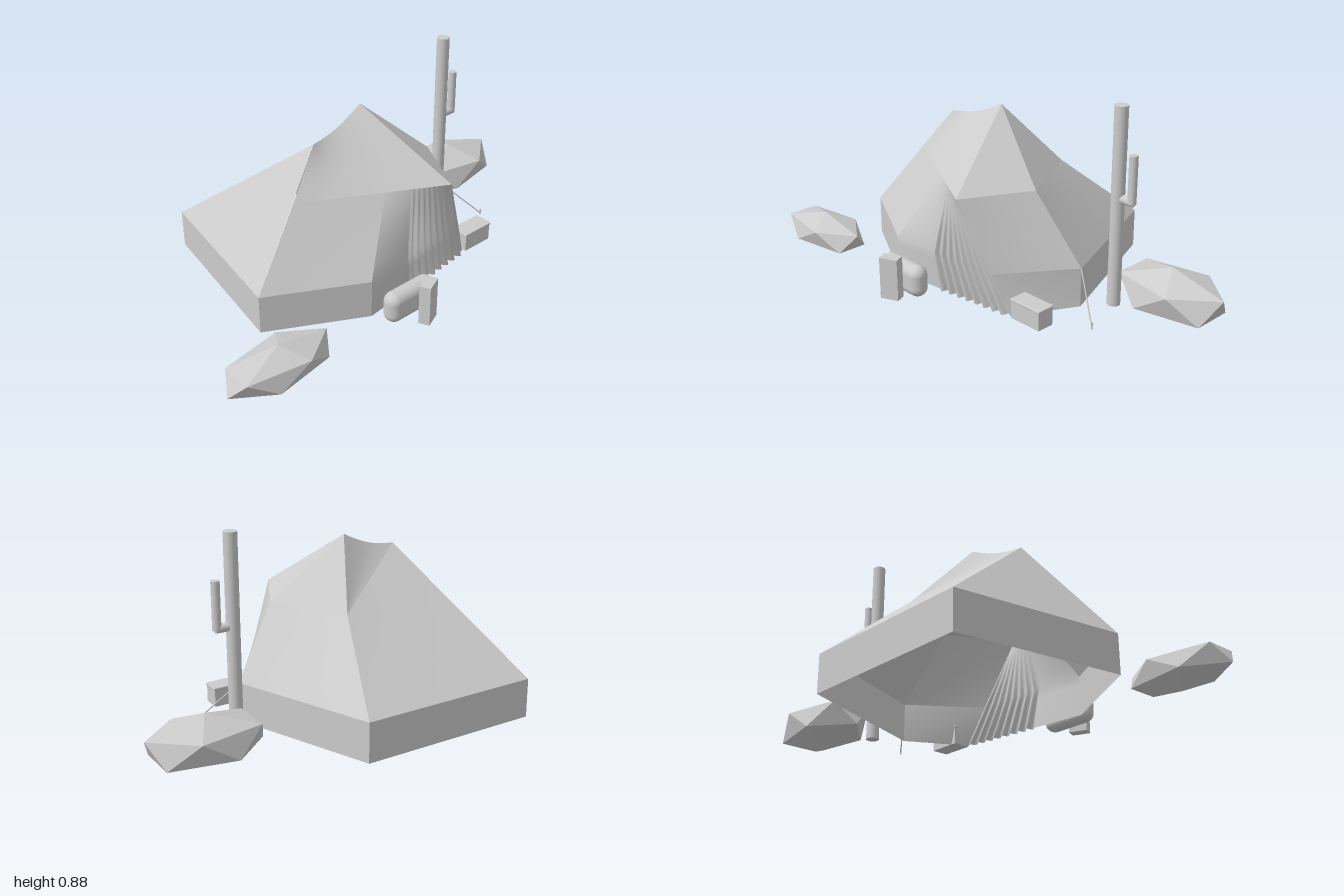
import * as THREE from 'three';
import { mergeGeometries } from 'three/addons/utils/BufferGeometryUtils.js';
import { RoundedBoxGeometry } from 'three/addons/geometries/RoundedBoxGeometry.js';
import { ConvexGeometry } from 'three/addons/geometries/ConvexGeometry.js';

const V = (x, y, z) => new THREE.Vector3(x, y, z);
const GROUND = 0.03;
const drop = p => V(p.x, GROUND, p.z);

// Points from a to b, both ends included
const line = (a, b, n = 1) =>
  Array.from({ length: n + 1 }, (_, i) => a.clone().lerp(b, i / n));

// Cloth surface hung between rails listed from top to bottom, each running left to right
function loft(rails, rows = 1, displace) {
  const grid = [rails[0]];
  for (let r = 1; r < rails.length; r++) {
    for (let k = 1; k <= rows; k++) {
      grid.push(rails[r].map((p, i) => rails[r - 1][i].clone().lerp(p, k / rows)));
    }
  }
  const w = rails[0].length, pos = [], idx = [];
  grid.forEach((row, j) => row.forEach((p, i) => {
    const q = displace ? displace(p.clone(), i / (w - 1)) : p;
    pos.push(q.x, q.y, q.z);
    if (j && i) {
      const a = (j - 1) * w + i - 1, b = j * w + i - 1;
      idx.push(a, b, b + 1, a, b + 1, a + 1);
    }
  }));
  const g = new THREE.BufferGeometry();
  g.setAttribute('position', new THREE.Float32BufferAttribute(pos, 3));
  g.setIndex(idx);
  g.computeVertexNormals();
  return g;
}

export function createModel() {
  const root = new THREE.Group();
  root.name = 'tentCamp';
  const grey = new THREE.MeshStandardMaterial({ color: 0xcccccc, side: THREE.DoubleSide });
  grey.name = 'paleGrey';

  function add(name, geometry, x = 0, y = 0, z = 0, parent = root) {
    const mesh = new THREE.Mesh(geometry, grey);
    mesh.name = name;
    mesh.position.set(x, y, z);
    parent.add(mesh);
    return mesh;
  }

  // Tent key points: two peaks, the eave ring and the wall-top corners
  const peak = V(-0.01, 0.77, 0.01), lowPeak = V(-0.28, 0.69, 0.04);
  const eaveLeft = V(-0.43, 0.5, 0.09), eaveDoor = V(-0.1, 0.5, 0.265);
  const eaveFront = V(0.14, 0.5, 0.4), eaveRight = V(0.29, 0.5, 0.11), eaveBack = V(0.12, 0.5, -0.22);
  const wallLeft = V(-0.67, 0.2, 0.16), wallFront = V(-0.27, 0.2, 0.375);
  const wallDoor = V(0.27, 0.2, 0.335), wallRight = V(0.48, 0.2, 0.04);
  const backRight = V(0.25, 0.2, -0.575), backLeft = V(-0.55, 0.2, -0.565);
  const doorFoot = V(0.34, GROUND, 0.3);

  // Sagging ridge between the peaks
  const N = 8;
  const ridge = line(lowPeak, peak, N).map((p, i) => {
    p.y -= 0.018 * Math.sin(Math.PI * i / N);
    return p;
  });

  const tent = new THREE.Group();
  tent.name = 'tent';
  root.add(tent);

  // Upper roof
  add('upperRoof', mergeGeometries([
    loft([ridge, line(eaveLeft, eaveFront, N)], 4),
    loft([line(peak, peak), line(eaveFront, eaveRight)]),
    loft([line(peak, peak), line(eaveRight, eaveBack)]),
    loft([[...ridge].reverse(), line(eaveBack, eaveBack, N)], 4),
  ]), 0, 0, 0, tent);

  // Sloping side panels below the eaves
  add('lowerRoof', mergeGeometries([
    loft([line(eaveLeft, eaveDoor, 4), line(wallLeft, wallFront, 4)], 4),
    loft([line(eaveFront, eaveRight, 4), line(wallDoor, wallRight, 4)], 4),
    loft([line(eaveRight, eaveBack, 4), line(wallRight, backRight, 4)], 4),
    loft([line(eaveBack, lowPeak, 6), line(backRight, backLeft, 6)], 6),
    loft([line(lowPeak, lowPeak), line(backLeft, wallLeft)]),
  ]), 0, 0, 0, tent);

  // Upright walls
  const corners = [wallDoor, wallRight, backRight, backLeft, wallLeft, wallFront];
  const walls = corners.slice(1).map((b, i) => {
    const a = corners[i];
    return loft([line(a, b), line(a === wallDoor ? doorFoot : drop(a), drop(b))]);
  });
  add('walls', mergeGeometries(walls), 0, 0, 0, tent);

  // Door curtain, pleats deepening towards the ground
  const W = 96;
  add('doorCurtain', loft([
    line(eaveDoor, eaveFront, W), line(wallFront, wallDoor, W), line(drop(wallFront), doorFoot, W),
  ], 5, (p, s) => {
    if (s > 0.4) {
      const depth = 0.016 * (0.5 - p.y) / 0.47;
      const wave = depth * Math.sin((s - 0.4) / 0.6 * Math.PI * 16);
      p.z += wave;
      p.x += wave * 0.3;
    }
    return p;
  }), 0, 0, 0, tent);

  // Guy rope and peg
  const ropeEnd = V(0.63, 0.035, 0.14);
  add('guyRope', new THREE.TubeGeometry(new THREE.LineCurve3(wallRight, ropeEnd), 1, 0.003, 6), 0, 0, 0, tent);
  add('tentPeg', new THREE.CylinderGeometry(0.004, 0.003, 0.03, 6), 0.63, 0.04, 0.14, tent);

  // Cactus: trunk, elbow and raised arm
  const cactus = new THREE.Group();
  cactus.name = 'cactus';
  cactus.position.set(0.556, 0, -0.076);
  root.add(cactus);
  add('trunk', new THREE.CylinderGeometry(0.028, 0.028, 0.845, 32), 0, 0.4525, 0, cactus);
  add('elbow', new THREE.CylinderGeometry(0.018, 0.018, 0.075, 24), 0.04, 0.496, 0, cactus).rotation.z = Math.PI / 2;
  add('arm', new THREE.CylinderGeometry(0.018, 0.018, 0.2, 24), 0.07, 0.59, 0, cactus);

  // Faceted boulders: two poles and two staggered rings of five
  function boulder(name, x, y, z, sx, sy, sz) {
    const pts = [V(0, sy, 0), V(0, -sy, 0)];
    for (let i = 0; i < 5; i++) {
      const a = i * Math.PI * 0.4, c = 0.8944 * Math.cos(a), s = 0.8944 * Math.sin(a);
      pts.push(V(c * sx, 0.4472 * sy, s * sz), V(-c * sx, -0.4472 * sy, s * sz));
    }
    add(name, new ConvexGeometry(pts), x, y, z);
  }
  boulder('rightBoulder', 0.75, 0.11, -0.2, 0.276, 0.11, 0.17);
  boulder('leftBoulder', -0.765, 0.085, 0.402, 0.264, 0.085, 0.13);

  // Bedroll, upright crate and chest by the door
  add('bedroll', new RoundedBoxGeometry(0.25, 0.136, 0.083, 6, 0.041), -0.135, 0.098, 0.451);
  add('uprightCrate', new THREE.BoxGeometry(0.08, 0.182, 0.048), -0.113, 0.121, 0.537).rotation.y = 0.42;
  const chest = new THREE.Group();
  chest.name = 'chest';
  chest.position.set(0.428, 0, 0.268);
  root.add(chest);
  add('chestBody', new THREE.BoxGeometry(0.15, 0.076, 0.078), 0, 0.068, 0, chest);
  add('chestLid', new RoundedBoxGeometry(0.16, 0.012, 0.086, 2, 0.004), 0, 0.11, 0, chest);

  return root;
}
